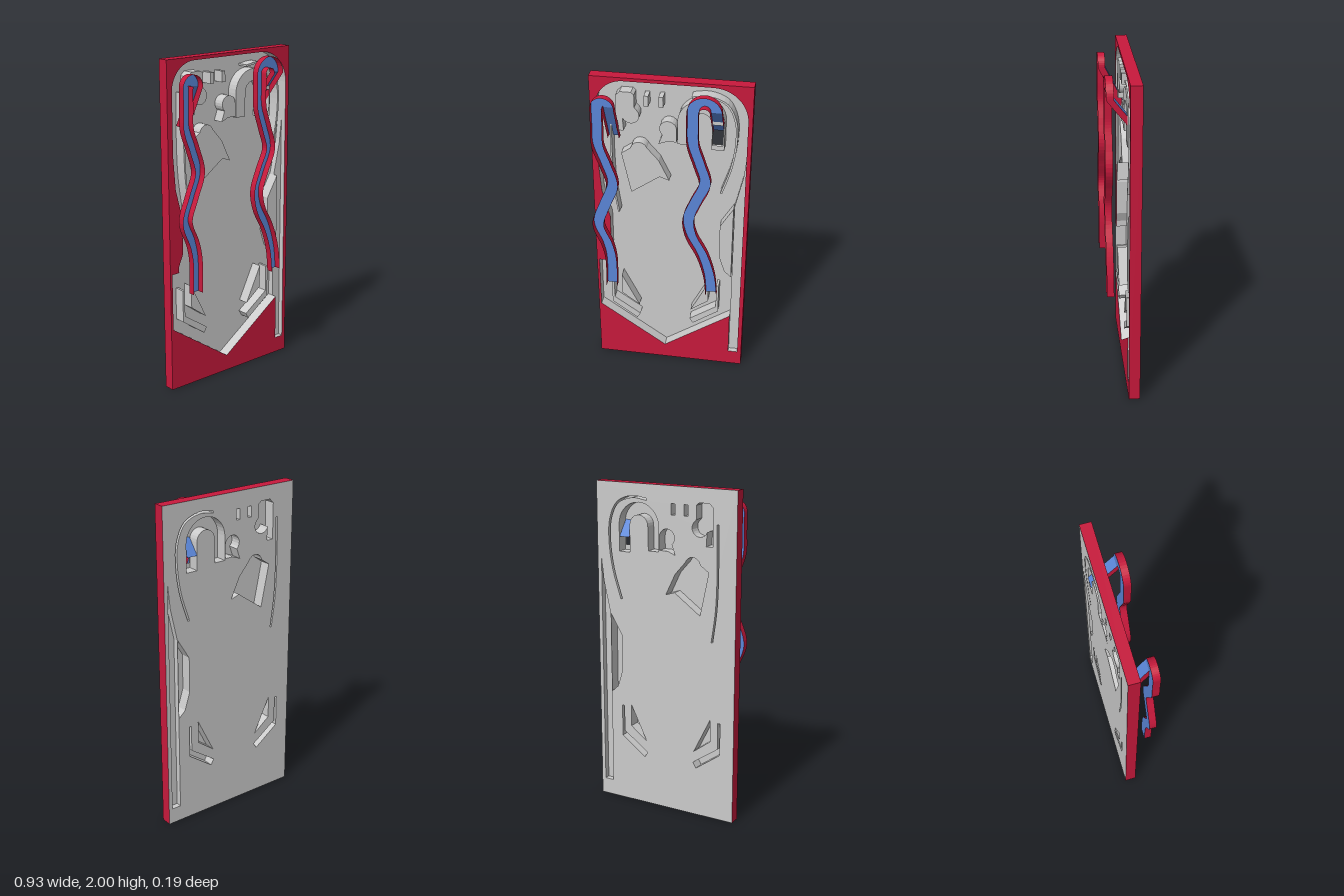
import * as THREE from 'three';

const BACK = -0.09, TOP = -0.022, LANE = -0.055, MIRROR = -0.035;
const mat = (color) => new THREE.MeshStandardMaterial({ color, side: THREE.DoubleSide, flatShading: true });
const grey = mat(0xcccccc), red = mat(0xc8193c), blue = mat(0x5a86d8);
const V = (p) => new THREE.Vector2(p[0], p[1]);

function add(parent, name, geometry, material) {
  const m = new THREE.Mesh(geometry, material);
  m.name = name;
  parent.add(m);
}

// points on a circular arc, angles in degrees
function arc(cx, cy, r, a0, a1, n = 12) {
  return Array.from({ length: n + 1 }, (_, i) => {
    const a = THREE.MathUtils.degToRad(a0 + ((a1 - a0) * i) / n);
    return [cx + r * Math.cos(a), cy + r * Math.sin(a)];
  });
}

// surface between two rows of 3D points
function strip(a, b) {
  const pos = [], idx = [];
  a.forEach((p, i) => {
    pos.push(...p, ...b[i]);
    if (i) idx.push(2 * i - 2, 2 * i - 1, 2 * i, 2 * i, 2 * i - 1, 2 * i + 1);
  });
  const g = new THREE.BufferGeometry();
  g.setAttribute('position', new THREE.Float32BufferAttribute(pos, 3));
  g.setIndex(idx);
  g.computeVertexNormals();
  return g;
}

// closed upright wall along an outline
function wall(pts, z0, z1) {
  const loop = [...pts, pts[0]];
  return strip(loop.map((p) => [p[0], p[1], z0]), loop.map((p) => [p[0], p[1], z1]));
}

// flat sheet with holes
function sheet(pts, holes, z) {
  const s = new THREE.Shape(pts.map(V));
  s.holes = holes.map((h) => new THREE.Path(h.map(V)));
  return new THREE.ShapeGeometry(s).translate(0, 0, z);
}

// left and right edges of a path of given width
function edges(pts, w) {
  const sides = [[], []];
  pts.forEach((p, i) => {
    const a = pts[Math.max(i - 1, 0)], b = pts[Math.min(i + 1, pts.length - 1)];
    const l = Math.hypot(b[0] - a[0], b[1] - a[1]) || 1;
    const nx = -(b[1] - a[1]) / l, ny = (b[0] - a[0]) / l;
    sides[0].push([p[0] + (nx * w) / 2, p[1] + (ny * w) / 2, p[2] ?? 0]);
    sides[1].push([p[0] - (nx * w) / 2, p[1] - (ny * w) / 2, p[2] ?? 0]);
  });
  return sides;
}

function smooth(pts, n) {
  const c = new THREE.CatmullRomCurve3(pts.map((p) => new THREE.Vector3(p[0], p[1], 0)), false, 'centripetal');
  return c.getPoints(n).map((p) => [p.x, p.y]);
}

function rail(pts, w) {
  const [l, r] = edges(smooth(pts, 24), w);
  return [...l, ...r.reverse()];
}

const box = (x0, x1, y0, y1) => [[x0, y0], [x1, y0], [x1, y1], [x0, y1]];
const flip = (pts) => pts.map(([x, y]) => [2 * MIRROR - x, y]);

// open channel with a turn at the top and a chute dropping into the board
function ramp(parent, name, pts, cx, cy, r, endY, endZ) {
  const z = 0.052, h = 0.043;
  const path = [...smooth([...pts, [cx - r, cy]], 60), ...arc(cx, cy, r, 180, 0, 18).slice(1)].map((p) => [...p, z]);
  path.push([cx + r, cy - 0.005, z], [cx + r, endY, endZ]);
  const [l, rt] = edges(path, 0.066);
  const up = (e) => e.map(([x, y, zz]) => [x, y, zz + h]);
  const g = new THREE.Group();
  g.name = name;
  add(g, 'rampFloor', strip(l, rt), blue);
  add(g, 'rampWallOuter', strip(l, up(l)), red);
  add(g, 'rampWallInner', strip(rt, up(rt)), red);
  parent.add(g);
}

export function createModel() {
  const model = new THREE.Group();
  model.name = 'gameTable';

  // cabinet rim around the sunken playfield
  const outer = box(-0.465, 0.465, 0, 2);
  const outline = [
    [-0.035, 0.1], [0.38, 0.39], [0.381, 0.1], [0.44, 0.1],
    ...arc(0.24, 1.78, 0.2, 0, 90), ...arc(-0.27, 1.82, 0.16, 90, 180),
    [-0.43, 1.45], [-0.415, 1.25], [-0.37, 1.07], [-0.37, 0.85], [-0.4, 0.78],
    [-0.4, 0.74], [-0.45, 0.74], [-0.45, 0.39],
  ];
  add(model, 'cabinetRim', sheet(outer, [outline], TOP), red);
  add(model, 'cabinetSides', wall(outer, BACK, TOP), red);
  add(model, 'playfieldWall', wall(outline, BACK, TOP), grey);

  // raised islands, hollow from behind
  const sling = [[-0.31, 0.635], [-0.31, 0.495], [-0.2, 0.412]];
  const guide = [[-0.375, 0.62], [-0.375, 0.42], [-0.215, 0.305], [-0.195, 0.34], [-0.36, 0.455], [-0.36, 0.62]];
  const chuteHole = box(0.242, 0.302, 1.62, 1.75);
  const islands = [
    ['slingshotRight', sling], ['slingshotLeft', flip(sling)],
    ['guideRight', guide], ['guideLeft', flip(guide)],
    ['laneDivider', [[0.378, 0.7], [0.378, 1.2], [0.3, 1.07], [0.3, 0.85], [0.335, 0.74]]],
    ['slotPostRight', box(-0.153, -0.127, 1.833, 1.898)],
    ['slotPostLeft', box(-0.068, -0.042, 1.833, 1.898)],
    ['centreBumper', [[-0.29, 1.52], [-0.235, 1.26], [-0.065, 1.38], [-0.007, 1.36], [-0.07, 1.49],
      ...arc(-0.185, 1.55, 0.05, 20, 170)]],
    ['cornerBumper', [[-0.315, 1.67], [-0.272, 1.67], ...arc(-0.23, 1.77, 0.05, 200, 400),
      [-0.208, 1.82], [-0.208, 1.9], [-0.225, 1.915], [-0.29, 1.915], [-0.315, 1.89]]],
    ['middleBumper', [[-0.07, 1.6], [-0.02, 1.62], [0.035, 1.62], ...arc(-0.015, 1.7, 0.05, 0, 230)]],
    ['archIsland', [...arc(0.175, 1.755, 0.135, 0, 180, 18), [0.04, 1.61], [0.11, 1.61],
      ...arc(0.175, 1.755, 0.062, 180, 0), [0.237, 1.59], [0.31, 1.59]], [chuteHole]],
    ['outerRail', rail([[0.3, 1.3], [0.355, 1.48], [0.378, 1.65], [0.37, 1.78], [0.32, 1.88], [0.22, 1.92], [0.12, 1.91]], 0.012)],
    ['sideRail', rail([[-0.345, 1.8], [-0.348, 1.5], [-0.34, 1.3], [-0.315, 1.11]], 0.01)],
  ];
  for (const [name, pts, holes = []] of islands) {
    const g = new THREE.Group();
    g.name = name;
    add(g, 'islandTop', sheet(pts, holes, TOP), grey);
    add(g, 'islandWall', wall(pts, BACK, TOP), grey);
    model.add(g);
  }

  // launch lane, raised part way
  const lane = [[0.381, 0.1], [0.44, 0.1], [0.44, 1.55], [0.425, 1.4], [0.381, 1.2]];
  add(model, 'launchLane', sheet(lane, [], LANE), grey);
  add(model, 'launchLaneWall', wall(lane, BACK, LANE), grey);

  // floor, open behind each island
  add(model, 'playfieldFloor', sheet(outer, [lane, ...islands.map((i) => i[1])], BACK), grey);

  ramp(model, 'rightRamp', [[-0.35, 0.63], [-0.35, 0.84], [-0.37, 0.94], [-0.42, 1.08], [-0.375, 1.22],
    [-0.326, 1.36], [-0.36, 1.49], [-0.404, 1.62], [-0.405, 1.74]], -0.37, 1.855, 0.035, 1.61, -0.07);
  ramp(model, 'leftRamp', [[0.27, 0.63], [0.255, 0.77], [0.21, 0.92], [0.14, 1.06], [0.123, 1.17],
    [0.165, 1.29], [0.217, 1.42], [0.185, 1.54], [0.144, 1.67], [0.14, 1.78]], 0.206, 1.87, 0.066, 1.68, -0.095);
  return model;
}
